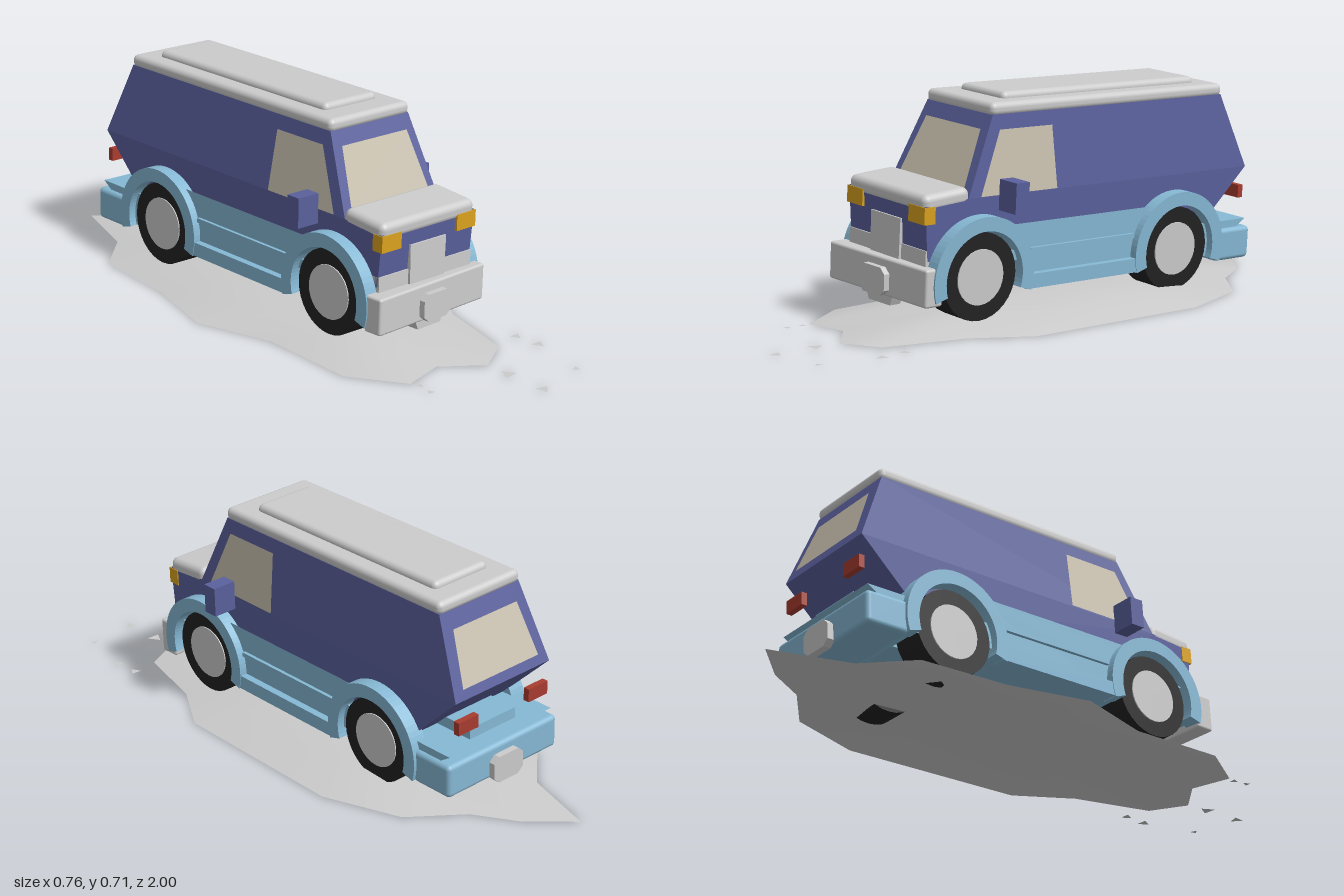
import * as THREE from 'three';
import { RoundedBoxGeometry } from 'three/addons/geometries/RoundedBoxGeometry.js';
import { ConvexGeometry } from 'three/addons/geometries/ConvexGeometry.js';

const mat = (color, thin) => new THREE.MeshStandardMaterial(
  thin ? { color, side: THREE.DoubleSide } : { color });
const GREY = mat(0xcccccc), GREY_THIN = mat(0xcccccc, true);
const PAINT = mat(0x5a609c), TRIM = mat(0x86b8d4), TYRE = mat(0x222222);
const GLASS = mat(0xc8c0ae, true), AMBER = mat(0xd9a21e), RED = mat(0xa83c30);

const WHEEL_Y = 0.172, WHEEL_Z = [-0.435, 0.355], ARCH = 0.148;

function add(parent, name, geometry, material, x = 0, y = 0, z = 0) {
  const mesh = new THREE.Mesh(geometry, material);
  mesh.name = name;
  mesh.position.set(x, y, z);
  parent.add(mesh);
  return mesh;
}
const box = (w, h, d) => new THREE.BoxGeometry(w, h, d);
const rounded = (w, h, d, r) => new RoundedBoxGeometry(w, h, d, 3, r);

// Extrudes a (z, y) side profile across x, centred on x = 0
function acrossX(shape, width) {
  const g = new THREE.ExtrudeGeometry(shape, { depth: width, bevelEnabled: false, curveSegments: 20 });
  return g.translate(0, 0, -width / 2).rotateY(-Math.PI / 2);
}

// Extrudes a front outline (x, y) by depth, centred on z = 0
function plate(points, depth) {
  const shape = new THREE.Shape(points.map(p => new THREE.Vector2(...p)));
  return new THREE.ExtrudeGeometry(shape, { depth, bevelEnabled: false }).translate(0, 0, -depth / 2);
}

// Side profile with both wheel arches cut out of its bottom edge
function archedProfile(back, front, bottom, top) {
  const a = Math.asin((bottom - WHEEL_Y) / ARCH);
  const s = new THREE.Shape();
  s.moveTo(back, bottom);
  for (const z of WHEEL_Z) s.absarc(z, WHEEL_Y, ARCH, Math.PI - a, a, true);
  s.lineTo(front, bottom);
  for (const [z, y] of top) s.lineTo(z, y);
  return s;
}

// Flat four-cornered pane
function quad(a, b, c, d) {
  const g = new THREE.BufferGeometry();
  g.setAttribute('position', new THREE.Float32BufferAttribute([a, b, c, a, c, d].flat(), 3));
  g.computeVertexNormals();
  return g;
}

function buildBody(van) {
  // Lower shell and tapered cabin
  add(van, 'lowerBody', acrossX(archedProfile(-0.75, 0.54, 0.235,
    [[0.553, 0.4], [0.395, 0.41], [-0.75, 0.41]]), 0.388), PAINT);
  const corners = [];
  for (const s of [-1, 1]) {
    for (const [x, y, z] of [[0.194, 0.41, 0.395], [0.194, 0.41, -0.75],
      [0.162, 0.65, 0.29], [0.162, 0.65, -0.65]]) corners.push(new THREE.Vector3(s * x, y, z));
  }
  add(van, 'cabin', new ConvexGeometry(corners), PAINT);

  // Hood, roof and raised roof panel
  add(van, 'hood', rounded(0.39, 0.055, 0.17, 0.022), GREY, 0, 0.412, 0.472).rotation.x = 0.08;
  add(van, 'roof', rounded(0.33, 0.042, 0.95, 0.018), GREY, 0, 0.664, -0.18);
  add(van, 'roofPanel', rounded(0.218, 0.05, 0.79, 0.018), GREY, 0, 0.68, -0.185);

  // Windows lie just outside the sloping cabin faces
  const frontZ = y => 0.399 - (y - 0.41) * 0.4375;
  const rearZ = y => -0.754 + (y - 0.41) * 0.4167;
  const sideX = y => 0.197 - (y - 0.41) * 0.1333;
  const pane = (w0, y0, w1, y1, z) => quad(
    [-w0, y0, z(y0)], [w0, y0, z(y0)], [w1, y1, z(y1)], [-w1, y1, z(y1)]);
  add(van, 'windscreen', pane(0.163, 0.425, 0.135, 0.605, frontZ), GLASS);
  add(van, 'rearWindow', pane(0.155, 0.44, 0.13, 0.6, rearZ), GLASS);
  for (const s of [-1, 1]) {
    const pt = (z, y) => [s * sideX(y), y, z];
    add(van, 'sideWindow', quad(pt(0.35, 0.412), pt(0.055, 0.412), pt(0.065, 0.605), pt(0.268, 0.605)), GLASS);
    add(van, 'mirror', box(0.08, 0.095, 0.05), PAINT, s * 0.235, 0.413, 0.255);
    add(van, 'headlight', box(0.08, 0.052, 0.04), AMBER, s * 0.157, 0.373, 0.538);
    add(van, 'tailLight', box(0.08, 0.042, 0.02), RED, s * 0.145, 0.325, -0.744);
  }

  // Nose
  add(van, 'grille', plate([[-0.072, 0.21], [0.072, 0.21], [0.075, 0.345], [-0.075, 0.345]], 0.02), GREY, 0, 0, 0.545);
  add(van, 'noseStrip', box(0.388, 0.06, 0.03), GREY, 0, 0.238, 0.532);
}

function buildCladding(van) {
  // Chassis skirt, with a narrow floor between the wheels
  add(van, 'skirt', acrossX(archedProfile(-0.745, 0.53, 0.13, [[0.53, 0.24], [-0.745, 0.24]]), 0.424), TRIM);
  add(van, 'floor', box(0.19, 0.14, 1.22), TRIM, 0, 0.205, -0.1);

  // Fender ring around each wheel and a stepped sill between
  const a = 0.3, outer = 0.188;
  for (const s of [-1, 1]) {
    for (const z of WHEEL_Z) {
      const ring = new THREE.Shape();
      ring.absarc(0, 0, outer, Math.PI + a, -a, true);
      ring.absarc(0, 0, ARCH - 0.004, -a, Math.PI + a, false);
      add(van, 'fender', acrossX(ring, 0.055), TRIM, s * 0.21, WHEEL_Y, z);
    }
    add(van, 'sill', box(0.045, 0.045, 0.46), TRIM, s * 0.213, 0.142, -0.04);
    add(van, 'sillTop', box(0.03, 0.014, 0.42), TRIM, s * 0.208, 0.236, -0.04);
  }

  // Front bumper hangs slightly crooked
  const octagon = [[-0.06, -0.025], [-0.04, -0.043], [0.04, -0.043], [0.06, -0.025],
    [0.06, 0.025], [0.04, 0.043], [-0.04, 0.043], [-0.06, 0.025]];
  const front = new THREE.Group();
  front.name = 'frontBumper';
  front.position.set(0, 0.163, 0.55);
  front.rotation.y = 0.05;
  van.add(front);
  add(front, 'bumperBar', rounded(0.465, 0.116, 0.065, 0.008), GREY);
  add(front, 'bumperLip', plate([[-0.05, -0.087], [0.05, -0.087], [0.066, -0.05], [-0.066, -0.05]], 0.04), GREY);
  add(front, 'frontPlate', plate(octagon, 0.024), GREY, 0, -0.012, 0.04);

  add(van, 'rearBumper', rounded(0.455, 0.106, 0.15, 0.015), TRIM, 0, 0.163, -0.682);
  add(van, 'rearPlate', plate(octagon, 0.026), GREY, 0, 0.143, -0.765);
}

function buildWheels(van) {
  const tyre = new THREE.CylinderGeometry(0.135, 0.135, 0.105, 32).rotateZ(Math.PI / 2);
  const hub = new THREE.CylinderGeometry(0.086, 0.086, 0.112, 28).rotateZ(Math.PI / 2);
  const axle = new THREE.CylinderGeometry(0.02, 0.02, 0.3, 10).rotateZ(Math.PI / 2);
  for (const z of WHEEL_Z) {
    add(van, 'axle', axle, TYRE, 0, WHEEL_Y, z);
    for (const s of [-1, 1]) {
      add(van, 'tyre', tyre, TYRE, s * 0.16, WHEEL_Y, z);
      add(van, 'hub', hub, GREY, s * 0.16, WHEEL_Y, z);
    }
  }
}

// Irregular low mound: rings of one outline shrinking to a peak
function buildMound() {
  const outline = [[-0.08, -1], [0.05, -0.88], [0.13, -0.75], [0.29, -0.63], [0.38, -0.38],
    [0.36, 0.25], [0.25, 0.43], [0.18, 0.69], [0.06, 0.755], [-0.06, 0.66], [-0.2, 0.69],
    [-0.31, 0.52], [-0.305, 0.2], [-0.385, -0.06], [-0.32, -0.32], [-0.3, -0.62], [-0.16, -0.75]];
  const rings = [[1, 0], [0.66, 0.034], [0.33, 0.047], [0, 0.051]], n = outline.length;
  const pos = [], index = [];
  for (const [k, y] of rings) for (const [x, z] of outline) pos.push(x * k, y, z * k - 0.06 * (1 - k));
  for (let r = 0; r < rings.length - 1; r++) {
    for (let i = 0; i < n; i++) {
      const a = r * n + i, b = r * n + (i + 1) % n;
      index.push(a, a + n, b, b, a + n, b + n);
    }
  }
  const g = new THREE.BufferGeometry();
  g.setAttribute('position', new THREE.Float32BufferAttribute(pos, 3));
  g.setIndex(index);
  g.computeVertexNormals();
  return g;
}

export function createModel() {
  const model = new THREE.Group();
  model.name = 'vanOnMound';

  // The van leans and pitches a little on the mound
  const van = new THREE.Group();
  van.name = 'van';
  van.position.x = -0.006;
  van.rotation.set(-0.018, 0, -0.044);
  model.add(van);
  buildBody(van);
  buildCladding(van);
  buildWheels(van);

  add(model, 'mound', buildMound(), GREY_THIN);

  // Flat chips scattered ahead: x, z, radius, turn
  const chips = [[-0.05, 0.64, 0.015, 0], [0.02, 0.655, 0.024, 1], [0.07, 0.71, 0.032, 2.2],
    [-0.19, 0.72, 0.014, 0.4], [-0.197, 0.77, 0.014, 1.5], [0.272, 0.675, 0.02, 2.6],
    [0.28, 0.76, 0.023, 0.5], [0.058, 0.84, 0.027, 1.6], [0.235, 0.95, 0.014, 0.9], [0.06, 0.977, 0.023, 0.2]];
  for (const [x, z, r, turn] of chips) {
    add(model, 'chip', new THREE.CircleGeometry(r, 3, turn).rotateX(-Math.PI / 2), GREY_THIN, x, 0.002, z);
  }
  return model;
}
